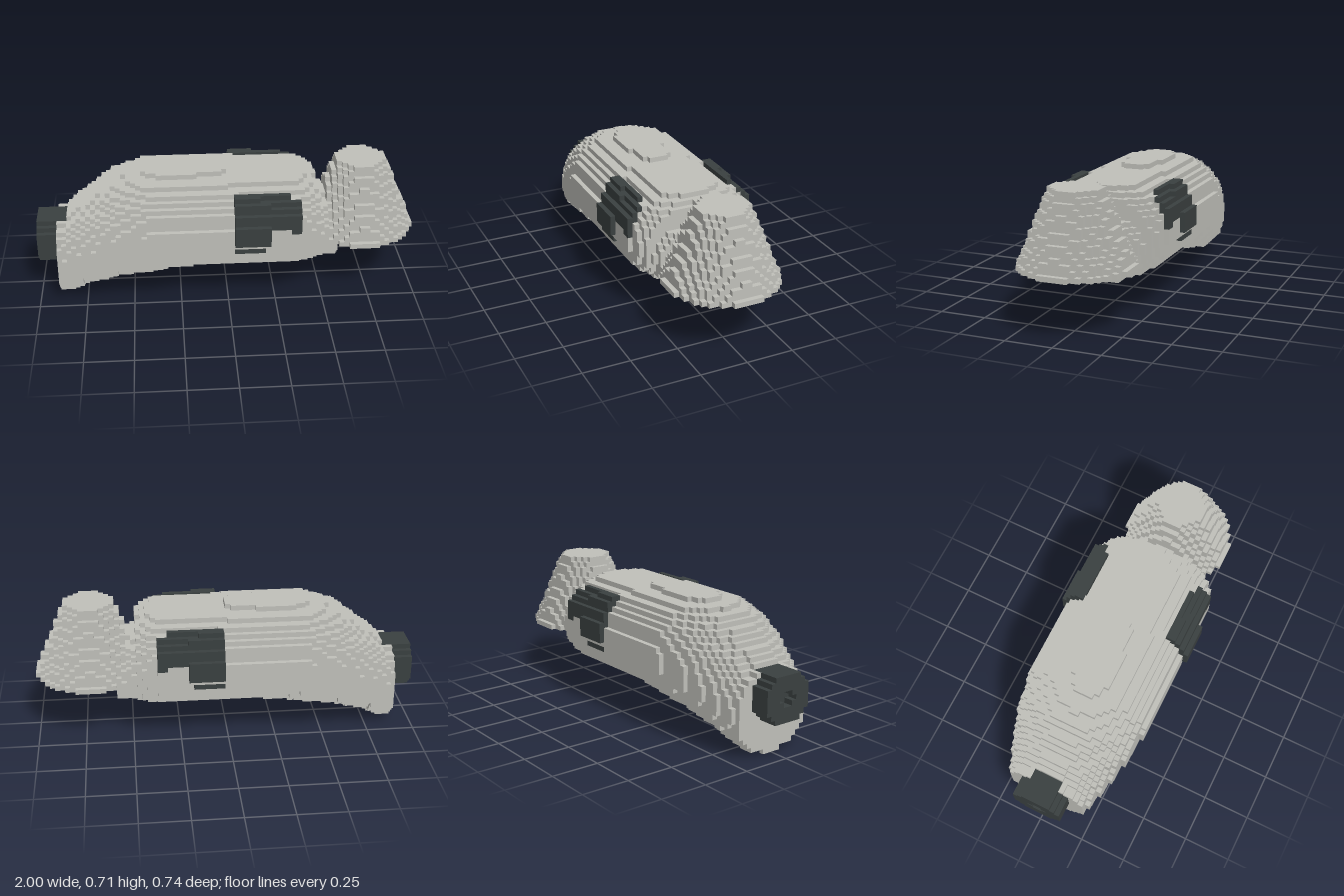
import * as THREE from 'three';

const V = 2 / 76;                 // block size
const NX = 76, NY = 27, NZ = 28;  // grid size

// Body cross-sections along the length: x, bottom, top, height of widest point, half width
const stations = [
  [-0.90, 0.010, 0.42, 0.21, 0.21],
  [-0.84, 0.012, 0.43, 0.23, 0.23],
  [-0.79, 0.040, 0.485, 0.25, 0.248],
  [-0.74, 0.066, 0.515, 0.28, 0.265],
  [-0.66, 0.090, 0.58, 0.32, 0.292],
  [-0.58, 0.118, 0.635, 0.355, 0.31],
  [-0.42, 0.145, 0.677, 0.40, 0.335],
  [-0.26, 0.171, 0.678, 0.41, 0.335],
  [-0.05, 0.188, 0.676, 0.41, 0.335],
  [0.01, 0.188, 0.670, 0.41, 0.335],
  [0.37, 0.188, 0.665, 0.41, 0.332],
  [0.42, 0.188, 0.645, 0.41, 0.315],
  [0.474, 0.188, 0.61, 0.40, 0.28],
  [0.478, 0.188, 0.53, 0.38, 0.255],
  [0.53, 0.188, 0.50, 0.36, 0.235],
  [0.58, 0.188, 0.46, 0.34, 0.205],
];

function section(x) {
  let i = 0;
  while (i < stations.length - 2 && x > stations[i + 1][0]) i++;
  const a = stations[i], b = stations[i + 1];
  const t = (x - a[0]) / (b[0] - a[0]);
  return a.map((v, n) => v + (b[n] - v) * t);
}

// Rounded superellipse section, optionally grown outwards
function inHull(x, y, z, grow = 0) {
  const [, bottom, top, mid, width] = section(x);
  const h = (y > mid ? top - mid : mid - bottom) + grow;
  return (Math.abs(y - mid) / h) ** 2.3 + (Math.abs(z) / (width + grow)) ** 2.3 <= 1;
}

function inBody(x, y, z) {
  if (x < -0.895 || x > 0.579) return false;
  if (x > -0.05 && y < 8 * V) return false;       // flat belly
  if (x > 0.53 && y > 12 * V) return false;       // low tongue under the cone
  return inHull(x, y, z);
}

function inCone(x, y, z) {
  if (y < 12 * V) return false;
  const r = 0.285 - (y - 0.33) * (0.155 / 0.367);
  return Math.hypot(x - 27 * V * 1 - 0, z) <= r;
}

function inHub(x, y, z) {
  if (x > -0.842) return false;
  const r = Math.hypot(y - 11.5 * V, z);
  return r <= 0.131 && !(x < -0.95 && r < 0.042); // socket in the rear face
}

function inPanel(x, y, z) {
  const az = Math.abs(z);
  if (x < V || x > 14 * V || az < 0.235) return false;
  if (y < (x < 0.18 ? 13 : 14) * V || y > (x < 0.316 ? 24 : 23) * V) return false;
  const boss = x < 0.21 && y > 15 * V && y < 19 * V;
  return (az < 13 * V || boss) && inHull(x, y, z, 0.031);
}

// Part number in each block: 0 empty, then the order of the parts list below
function partAt(x, y, z) {
  if (inHub(x, y, z)) return 1;
  if (inCone(x, y, z)) return 2;
  if (inBody(x, y, z)) return 3;
  if (inPanel(x, y, z)) return z > 0 ? 4 : 5;
  return 0;
}

// Mesh the outer faces of all blocks belonging to one part
function blockGeometry(grid, part) {
  const at = (c) => (c[0] < 0 || c[1] < 0 || c[2] < 0 || c[0] >= NX || c[1] >= NY || c[2] >= NZ)
    ? 0 : grid[(c[0] * NY + c[1]) * NZ + c[2]];
  const pos = [], nor = [], idx = [];
  for (let i = 0; i < NX; i++) for (let j = 0; j < NY; j++) for (let k = 0; k < NZ; k++) {
    const cell = [i, j, k];
    if (at(cell) !== part) continue;
    for (let axis = 0; axis < 3; axis++) for (const s of [-1, 1]) {
      const next = [...cell];
      next[axis] += s;
      if (at(next)) continue;
      const u = (axis + 1) % 3, w = (axis + 2) % 3, base = pos.length / 3;
      for (const [du, dw] of [[0, 0], [1, 0], [1, 1], [0, 1]]) {
        const p = [...cell], n = [0, 0, 0];
        p[axis] += s > 0 ? 1 : 0;
        p[u] += du;
        p[w] += dw;
        n[axis] = s;
        pos.push(p[0] * V - 1, p[1] * V, (p[2] - NZ / 2) * V);
        nor.push(...n);
      }
      const order = s > 0 ? [0, 1, 2, 0, 2, 3] : [0, 2, 1, 0, 3, 2];
      idx.push(...order.map((o) => base + o));
    }
  }
  const g = new THREE.BufferGeometry();
  g.setAttribute('position', new THREE.Float32BufferAttribute(pos, 3));
  g.setAttribute('normal', new THREE.Float32BufferAttribute(nor, 3));
  g.setIndex(idx);
  return g;
}

export function createModel() {
  const lightGrey = new THREE.MeshStandardMaterial({ color: 0xc0c0ba });
  lightGrey.name = 'lightGrey';
  const charcoal = new THREE.MeshStandardMaterial({ color: 0x3a4040 });
  charcoal.name = 'charcoal';

  // Fill the block grid
  const grid = new Uint8Array(NX * NY * NZ);
  for (let i = 0; i < NX; i++) for (let j = 0; j < NY; j++) for (let k = 0; k < NZ; k++) {
    grid[(i * NY + j) * NZ + k] =
      partAt((i + 0.5) * V - 1, (j + 0.5) * V, (k + 0.5 - NZ / 2) * V);
  }

  const parts = [
    ['rearHub', charcoal],
    ['noseCone', lightGrey],
    ['body', lightGrey],
    ['frontSidePanel', charcoal],
    ['backSidePanel', charcoal],
  ];
  const group = new THREE.Group();
  group.name = 'blockModel';
  parts.forEach(([name, material], n) => {
    const mesh = new THREE.Mesh(blockGeometry(grid, n + 1), material);
    mesh.name = name;
    group.add(mesh);
  });
  return group;
}
